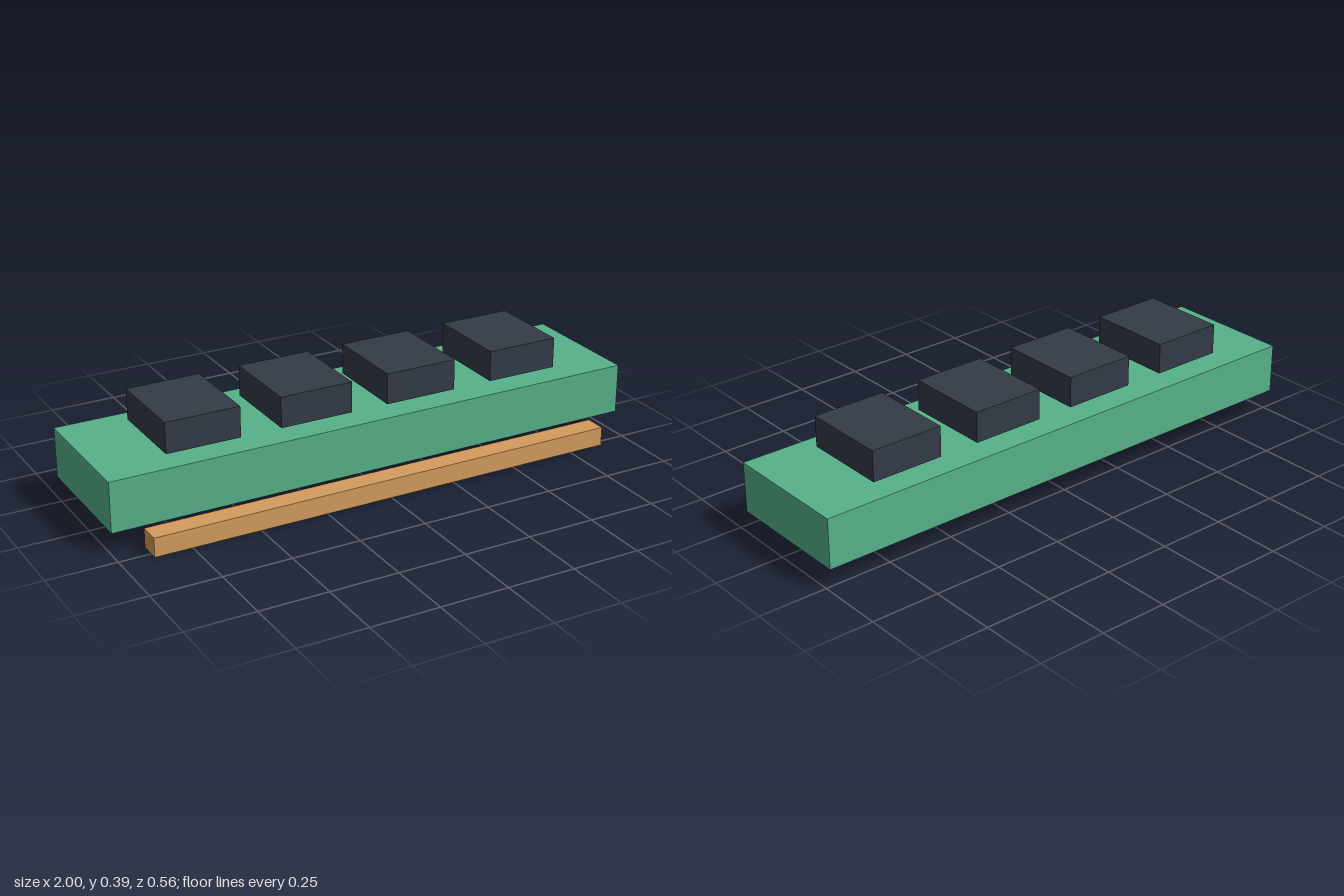
import * as THREE from 'three';

// Box given by its min and max corners
function block(name, color, min, max) {
  const size = max.map((v, i) => v - min[i]);
  const mesh = new THREE.Mesh(
    new THREE.BoxGeometry(...size),
    new THREE.MeshStandardMaterial({ color, flatShading: true })
  );
  mesh.position.set(...max.map((v, i) => (v + min[i]) / 2));
  mesh.name = name;
  return mesh;
}

export function createModel() {
  const model = new THREE.Group();
  model.name = 'memoryModule';

  // Main slab
  model.add(block('board', 0x56b18a, [-1, 0.082, -0.278], [1, 0.265, 0.204]));

  // Contact strip below the front edge
  model.add(block('contactStrip', 0xd49c5c, [-0.885, 0, 0.198], [0.885, 0.07, 0.278]));

  // Row of four chips floating just above the slab
  const chips = new THREE.Group();
  chips.name = 'chips';
  [-0.629, -0.206, 0.206, 0.629].forEach((x, i) => {
    chips.add(block(`chip${i + 1}`, 0x343b46, [x - 0.136, 0.277, -0.197], [x + 0.136, 0.39, 0.124]));
  });
  model.add(chips);

  return model;
}
